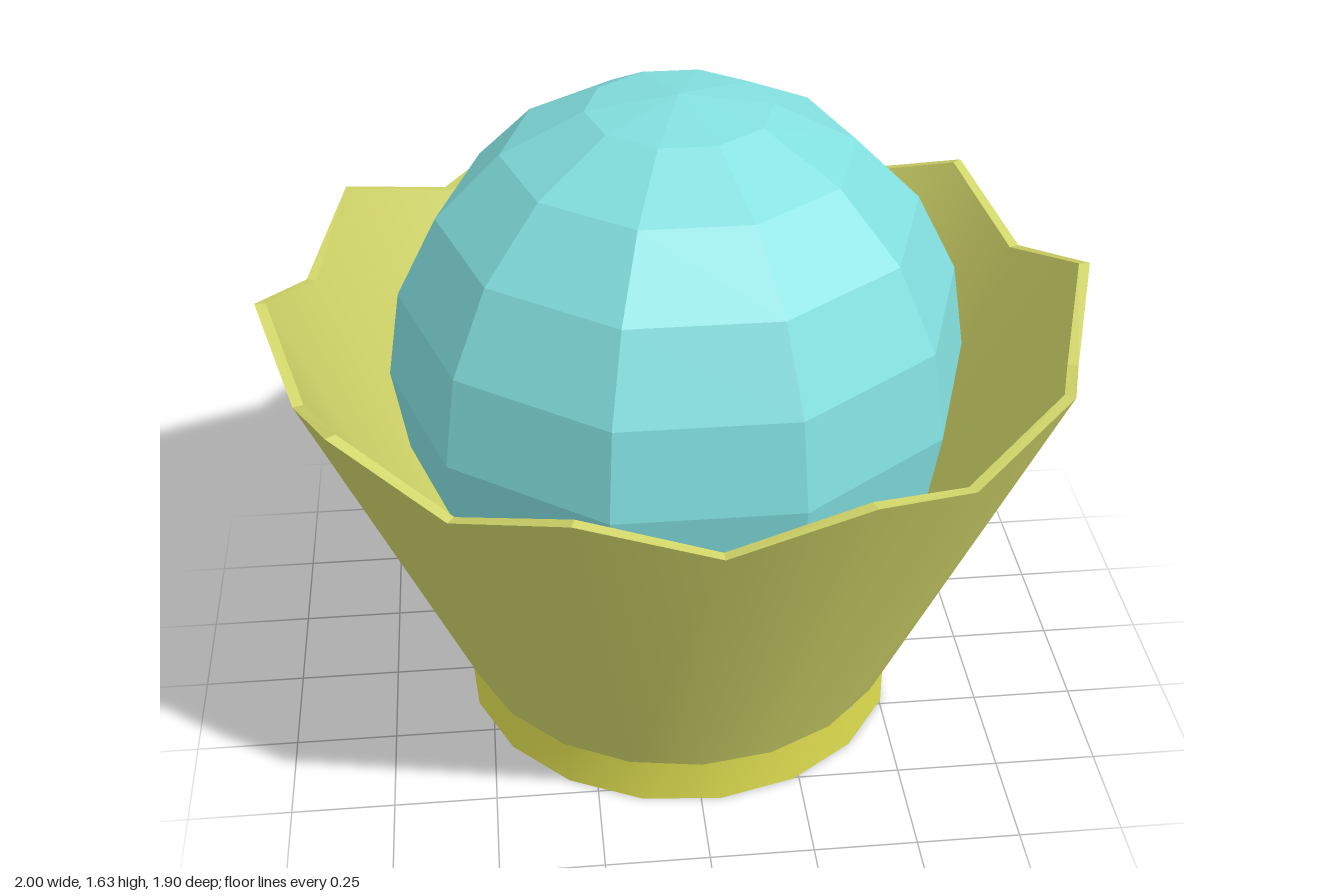
import * as THREE from 'three';
import { mergeGeometries } from 'three/addons/utils/BufferGeometryUtils.js';

const material = (color, flatShading = false) => new THREE.MeshStandardMaterial({ color, flatShading });
const point = (degrees, radius, y) => {
  const a = THREE.MathUtils.degToRad(degrees);
  return [radius * Math.cos(a), y, radius * Math.sin(a)];
};

// Surface between two rings of points; it faces outward when a is below b
function strip(a, b, closed = true, faceted = false) {
  const n = a.length, index = [];
  for (let i = 0; i < (closed ? n : n - 1); i++) {
    const j = (i + 1) % n;
    index.push(i, n + i, j, j, n + i, n + j);
  }
  let g = new THREE.BufferGeometry();
  g.setAttribute('position', new THREE.Float32BufferAttribute([...a, ...b].flat(), 3));
  g.setIndex(index);
  g = faceted ? g.toNonIndexed() : g;
  g.computeVertexNormals();
  return g.index ? g.toNonIndexed() : g;
}

function addMesh(group, name, geometry, mat) {
  const mesh = new THREE.Mesh(geometry, mat);
  mesh.name = name;
  group.add(mesh);
}

export function createModel() {
  const group = new THREE.Group();

  // Flared cup: ten-sided zigzag rim blending into a round base
  const cupAngles = Array.from({ length: 20 }, (_, i) => i * 18);
  const ring = (radius, y) => cupAngles.map(a => point(a, radius, y));
  const rim = radius => cupAngles.map((a, i) => i % 2
    ? point(a, radius * Math.cos(Math.PI / 10), 1.04)
    : point(a, radius, 1.145));
  const outerRim = rim(1), innerRim = rim(0.973);
  const outerBase = ring(0.56, 0.12), innerBase = ring(0.543, 0.145);
  addMesh(group, 'cup', mergeGeometries([
    strip(outerBase, outerRim),
    strip(innerRim, innerBase),
    strip(outerRim, innerRim, true, true),
    strip(innerBase, ring(0, 0.145), true, true),
    strip(ring(0, 0.12), outerBase, true, true),
  ]), material(0xd0d468));

  // Foot: round band with one flattened side
  const footAngles = Array.from({ length: 17 }, (_, i) => 25 + i * 20);
  const footRing = (radius, y) => footAngles.map(a => point(a, radius, y));
  const low = footRing(0.556, 0), high = footRing(0.556, 0.12);
  addMesh(group, 'foot', mergeGeometries([
    strip(low, high, false),
    strip([low[16], low[0]], [high[16], high[0]], false),
    strip(footRing(0, 0), low, true, true),
  ]), material(0xdede50));

  // Faceted ball resting in the cup
  const ball = new THREE.SphereGeometry(0.7, 10, 10);
  ball.translate(0, 0.935, 0);
  addMesh(group, 'ball', ball, material(0x82dede, true));

  return group;
}
